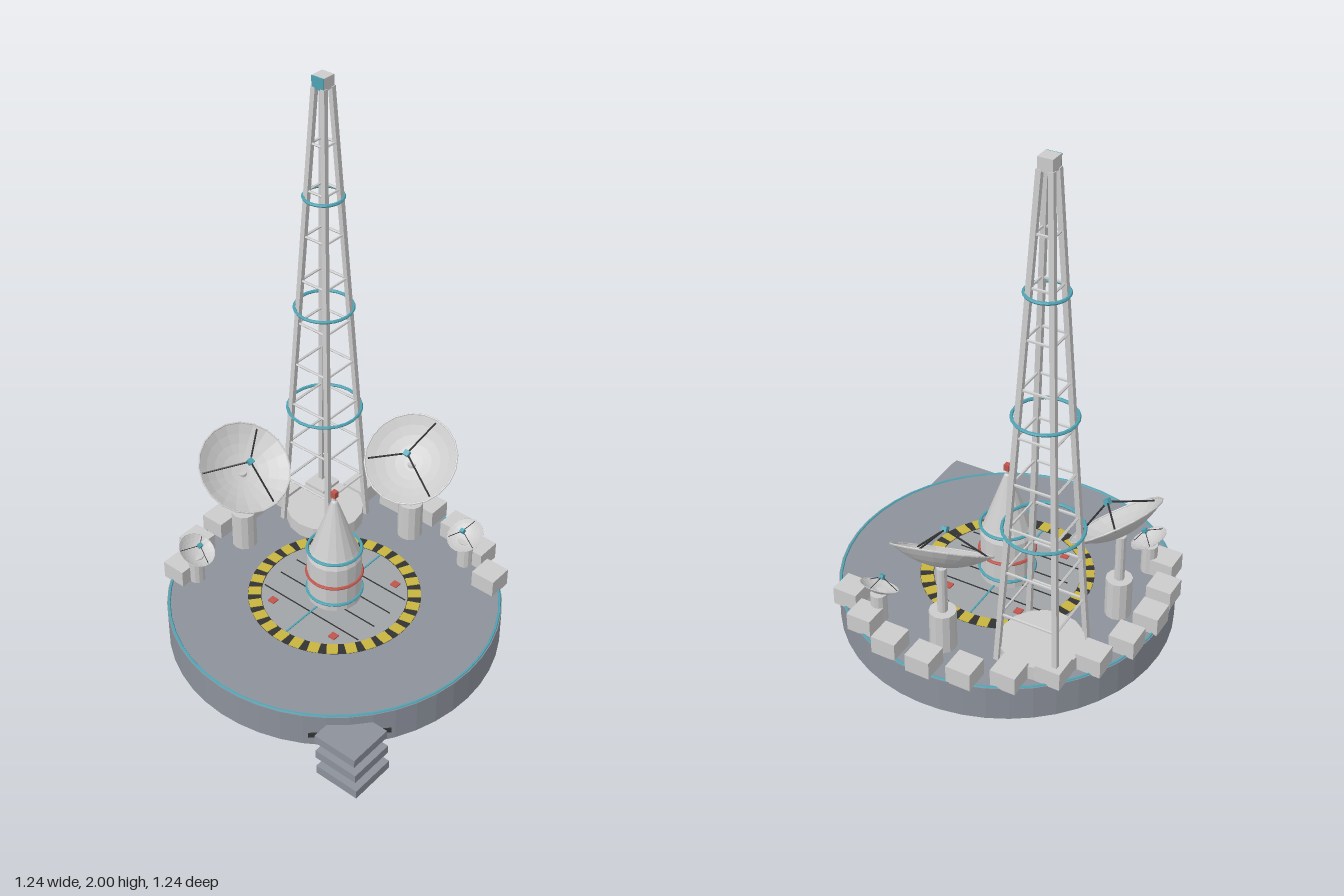
import * as THREE from 'three';

const mat = (color) => new THREE.MeshStandardMaterial({ color, flatShading: true, side: THREE.DoubleSide });
const GREY = mat(0xcccccc), DECK = mat(0x8c919b), PAD = mat(0xa0a4a8), DARK = mat(0x333333);
const CYAN = mat(0x4fa3b3), RED = mat(0xc0564c), YELLOW = mat(0xc8b440);
const DECK_Y = 0.138;
const UP = new THREE.Vector3(0, 1, 0);
const V = (x, y, z) => new THREE.Vector3(x, y, z);

function add(parent, name, geometry, material, x = 0, y = 0, z = 0) {
  const mesh = new THREE.Mesh(geometry, material);
  mesh.name = name;
  mesh.position.set(x, y, z);
  parent.add(mesh);
  return mesh;
}
const box = (p, name, m, w, h, d, x, y, z) => add(p, name, new THREE.BoxGeometry(w, h, d), m, x, y, z);

// Upright cylinder from y0 to y1
const post = (p, name, m, r, y0, y1, x, z, sides = 12) =>
  add(p, name, new THREE.CylinderGeometry(r, r, y1 - y0, sides), m, x, (y0 + y1) / 2, z);

// Horizontal hoop
function hoop(p, name, m, r, tube, x, y, z, sides = 32) {
  const mesh = add(p, name, new THREE.TorusGeometry(r, tube, 6, sides), m, x, y, z);
  mesh.rotation.x = Math.PI / 2;
  return mesh;
}

// Straight rod between two points; four sides gives a square beam
function rod(p, name, m, a, b, r, sides = 5) {
  const geometry = new THREE.CylinderGeometry(r, r, a.distanceTo(b), sides);
  if (sides === 4) geometry.rotateY(Math.PI / 4);
  const mesh = add(p, name, geometry, m);
  mesh.position.copy(a).lerp(b, 0.5);
  mesh.quaternion.setFromUnitVectors(UP, b.clone().sub(a).normalize());
  return mesh;
}

function group(parent, name) {
  const g = new THREE.Group();
  g.name = name;
  parent.add(g);
  return g;
}

function buildPlatform(root) {
  const g = group(root, 'platform');
  post(g, 'base', DECK, 0.617, 0, 0.135, 0, 0, 48);
  hoop(g, 'rimLight', CYAN, 0.609, 0.005, 0, 0.135, 0, 48);

  // Landing pad with hazard ring
  post(g, 'padFloor', PAD, 0.272, 0.13, DECK_Y, 0, 0, 48);
  const ring = add(g, 'hazardRing', new THREE.RingGeometry(0.27, 0.32, 56), DARK, 0, DECK_Y + 0.001, 0);
  ring.rotation.x = -Math.PI / 2;
  const count = 28;
  for (let i = 0; i < count; i++) {
    const a = (i / count) * Math.PI * 2;
    const stripe = box(g, 'hazardStripe', YELLOW, 0.047, 0.003, 0.04, 0.295 * Math.cos(a), DECK_Y + 0.002, 0.295 * Math.sin(a));
    stripe.rotation.y = -a;
  }
  for (const z of [-0.135, -0.045, 0.045, 0.135])
    box(g, 'padGroove', DARK, 0.45, 0.003, 0.004, 0, DECK_Y + 0.001, z);
  box(g, 'padCentreLine', CYAN, 0.006, 0.003, 0.54, 0, DECK_Y + 0.002, 0);
  for (const x of [-0.145, 0.145])
    for (const z of [-0.178, 0.178]) box(g, 'padMarker', RED, 0.028, 0.006, 0.028, x, DECK_Y + 0.002, z);

  // Parapet blocks along the back rim
  for (let i = 0; i < 12; i++) {
    const a = THREE.MathUtils.degToRad(150 + 15 * i);
    box(g, 'parapetBlock', GREY, 0.095, 0.07, 0.095, 0.577 * Math.cos(a), 0.167, 0.577 * Math.sin(a));
  }

  // Overlapping entry steps and wall plates
  for (let i = 0; i < 3; i++) {
    const c = 0.463 + 0.026 * i;
    box(g, 'entryStep', DECK, 0.174, 0.034, 0.174, c, 0.083 - 0.033 * i, c);
  }
  for (const [x, z] of [[0.357, 0.527], [0.527, 0.357]]) {
    const plate = box(g, 'wallPlate', DARK, 0.045, 0.02, 0.004, x, 0.07, z);
    plate.rotation.y = Math.PI / 4;
  }
}

function buildRocket(root) {
  const g = group(root, 'rocket');
  const profile = [[0.1, 0.135], [0.1, 0.33], [0.085, 0.365], [0.012, 0.575], [0, 0.585]];
  add(g, 'hull', new THREE.LatheGeometry(profile.map(([r, y]) => new THREE.Vector2(r, y)), 16), GREY);
  hoop(g, 'lowerBand', CYAN, 0.102, 0.006, 0, 0.17, 0);
  hoop(g, 'middleBand', RED, 0.102, 0.006, 0, 0.25, 0);
  hoop(g, 'upperBand', CYAN, 0.099, 0.006, 0, 0.36, 0);
  post(g, 'noseRod', GREY, 0.006, 0.57, 0.605, 0, 0, 6);
  box(g, 'noseLight', RED, 0.02, 0.025, 0.02, 0, 0.608, 0);
}

function buildTower(root) {
  const g = group(root, 'latticeTower');
  const cx = -0.313, cz = -0.313, y0 = 0.14, y1 = 1.96;
  const half = (y) => THREE.MathUtils.lerp(0.114, 0.02, (y - y0) / (y1 - y0));
  const corners = [[1, 1], [-1, 1], [-1, -1], [1, -1]];
  const at = ([sx, sz], y) => V(cx + sx * half(y), y, cz + sz * half(y));

  post(g, 'foundation', GREY, 0.15, 0.13, 0.19, cx, cz, 16);
  corners.forEach((c) => rod(g, 'leg', GREY, at(c, y0), at(c, y1), 0.013, 4));
  for (let i = 1; i <= 9; i++) {
    const y = 0.158 + 0.1775 * i;
    corners.forEach((c, k) => rod(g, 'crossbar', GREY, at(c, y), at(corners[(k + 1) % 4], y), 0.005));
  }
  for (const [r, y] of [[0.138, 0.67], [0.107, 1.11], [0.071, 1.555]])
    hoop(g, 'towerHoop', CYAN, r, 0.006, cx, y, cz, 24);
  box(g, 'cap', GREY, 0.052, 0.045, 0.052, cx, 1.977, cz);
  box(g, 'capPanel', CYAN, 0.052, 0.045, 0.003, cx, 1.977, cz + 0.027);
}

// Dish with its rim centred at the given point, facing along a normal
function buildDish(root, name, centre, normal, R, depth, feedDist, phase) {
  const g = group(root, name);
  g.position.copy(centre);
  g.quaternion.setFromUnitVectors(UP, normal.clone().normalize());
  const profile = [];
  for (let i = 0; i <= 5; i++) profile.push(new THREE.Vector2((R * i) / 5, depth * ((i / 5) ** 2 - 1)));
  add(g, 'bowl', new THREE.LatheGeometry(profile, 20), GREY);
  hoop(g, 'rim', GREY, R, R * 0.02, 0, 0, 0, 20);
  const feed = V(0, feedDist, 0);
  for (let i = 0; i < 3; i++) {
    const a = phase + (i * Math.PI * 2) / 3;
    rod(g, 'feedStrut', DARK, V(0.93 * R * Math.cos(a), -0.1 * depth, 0.93 * R * Math.sin(a)), feed, R * 0.02);
  }
  const s = 0.012 + R * 0.05;
  box(g, 'feed', CYAN, s, s, s, 0, feedDist, 0);
}

function buildAntennas(root) {
  const g = group(root, 'antennas');
  // Each pair mirrors across the diagonal by swapping x and z
  for (const swap of [false, true]) {
    const m = (x, y, z) => (swap ? V(z, y, x) : V(x, y, z));
    const phase = swap ? 0 : -Math.PI / 2;
    const big = m(0, 0, -0.45), small = m(0.267, 0, -0.445);
    post(g, 'largeDishBase', GREY, 0.048, 0.13, 0.29, big.x, big.z);
    post(g, 'largeDishPole', GREY, 0.018, 0.28, 0.475, big.x, big.z);
    buildDish(g, 'largeDish', m(0.015, 0.522, -0.42), m(0.17, 0.8, 0.58), 0.176, 0.058, 0.07, phase);
    post(g, 'smallDishBase', GREY, 0.03, 0.13, 0.25, small.x, small.z);
    buildDish(g, 'smallDish', m(0.267, 0.277, -0.438), m(-0.05, 0.88, 0.46), 0.07, 0.025, 0.034, phase);
  }
}

export function createModel() {
  const root = new THREE.Group();
  root.name = 'launchStation';
  buildPlatform(root);
  buildRocket(root);
  buildTower(root);
  buildAntennas(root);
  return root;
}
